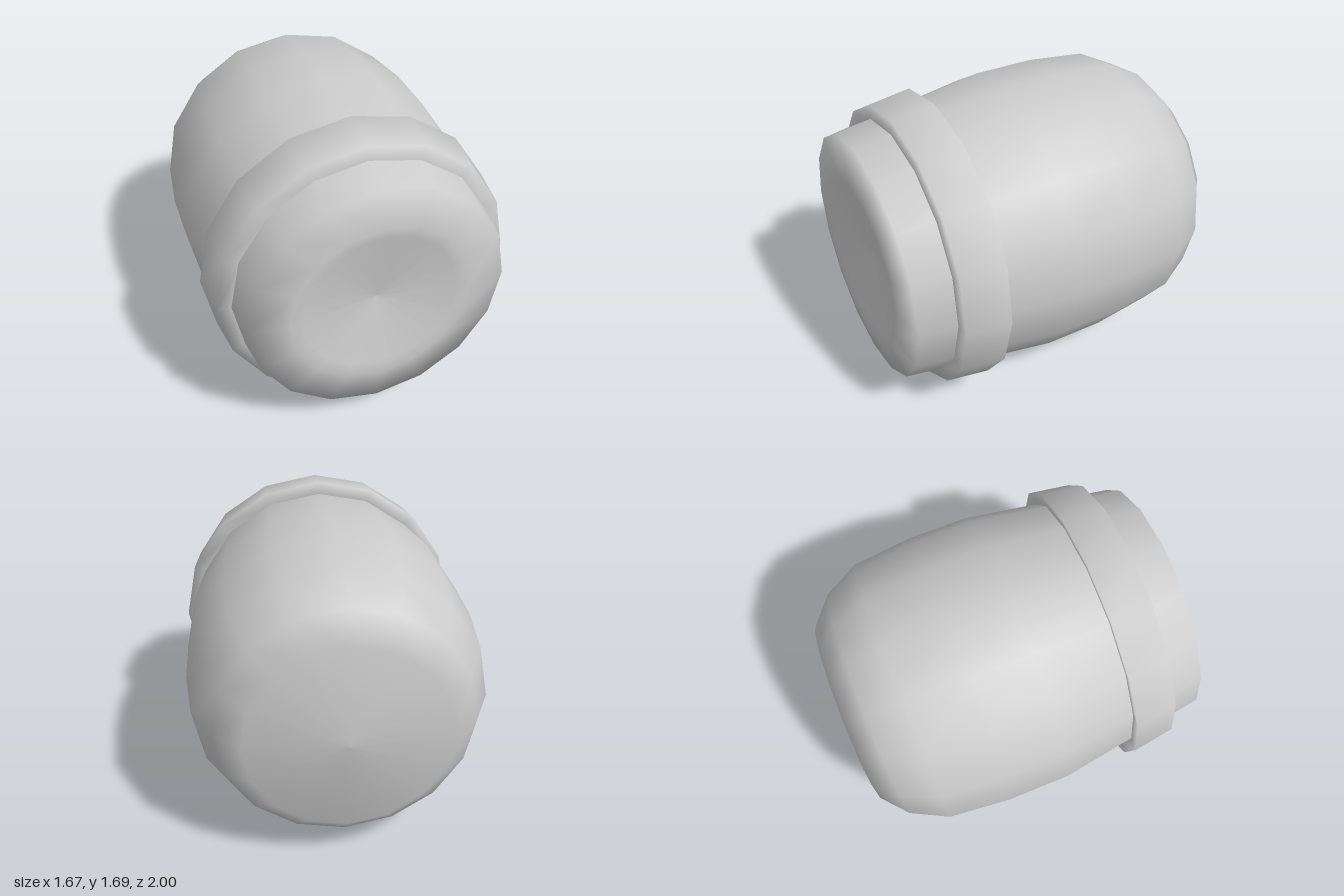
import * as THREE from 'three';

const SIDES = 16;

// Turns a [radius, distance along axis] profile into a smooth form lying along z
function turned(name, profile) {
  const points = profile.map(([r, d]) => new THREE.Vector2(r, d));
  const geometry = new THREE.LatheGeometry(points, SIDES);
  geometry.rotateX(Math.PI / 2);
  const material = new THREE.MeshStandardMaterial({ color: 0xcccccc });
  const mesh = new THREE.Mesh(geometry, material);
  mesh.name = name;
  return mesh;
}

export function createModel() {
  const model = new THREE.Group();
  model.name = 'barrel';

  // Bulging body with a shallow domed back and a dished front
  model.add(turned('body', [
    [0, -1.0], [0.545, -0.952], [0.688, -0.825], [0.793, -0.62],
    [0.828, -0.27], [0.826, 0.08], [0.695, 0.947],
    [0.487, 0.983], [0.42, 0.965], [0, 0.9],
  ]));

  // Collar around the front neck, tapering forward
  model.add(turned('collar', [
    [0.75, 0.505], [0.835, 0.495], [0.8, 0.738], [0.715, 0.745],
  ]));

  // The whole form tips slightly upward at the front
  model.rotation.x = -0.033;
  model.position.y = 0.842;

  const root = new THREE.Group();
  root.add(model);
  return root;
}
